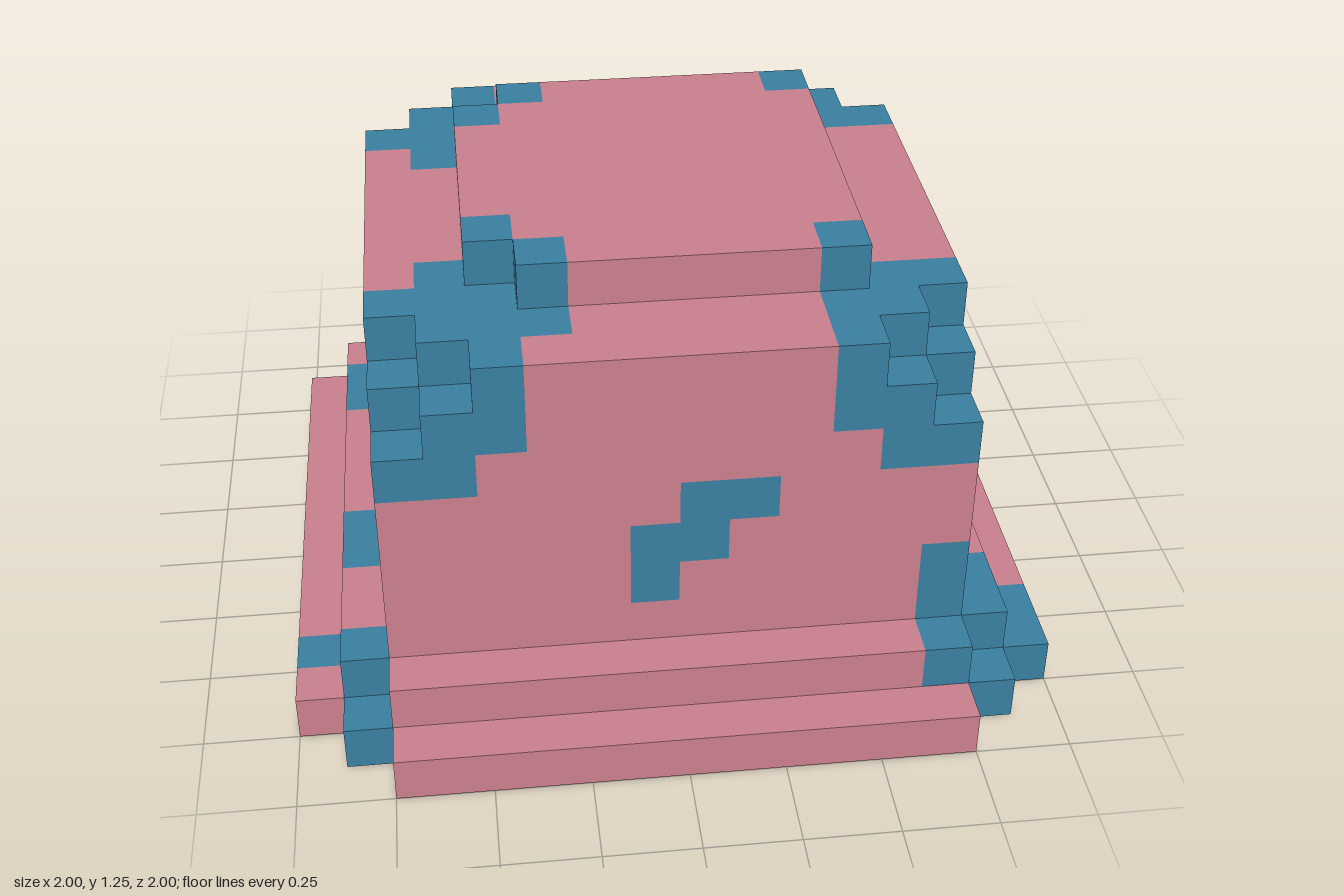
import * as THREE from 'three';

const U = 1 / 8; // size of one block

const material = (name, color) => {
  const m = new THREE.MeshStandardMaterial({ color });
  m.name = name;
  return m;
};

// Is there a block at this cell? (cell centres are used for x and z)
function solid(i, y, k) {
  const x = i + 0.5, a = Math.abs(x), c = Math.abs(k + 0.5);
  if (y < 0 || y > 9) return false;
  if (y === 0) return (a < 8 && c < 6) || (a < 6 && c < 8) || (a < 7 && c < 7);
  if (y === 1) return (a < 7 && c < 6) || (a < 6 && c < 7);
  if (y < 7) return a < 6 && c < 6;
  if (y === 7) return a < 6 && c < 6 && !(a > 5 && c > 5);
  if (y === 8) return a < 6 && c < 6 && !(a > 4 && c > 4 && (a > 5 || c > 5));
  return a < 4 && c < 4 && !(x < -3 && c > 3);
}

// Blue areas as block ranges: x0, x1, y0, y1, z0, z1
const blueAreas = [
  // brim, front corners
  [6, 8, 0, 2, 4, 6], [6, 7, 0, 1, 6, 7], [5, 6, 1, 2, 6, 7],
  [-7, -6, 0, 2, 5, 6], [-7, -6, 0, 1, 6, 7],
  // brim, sides and back
  [6, 8, 0, 2, -5, -3], [4, 6, 0, 2, -8, -6], [6, 7, 0, 1, -7, -6],
  [-8, -7, 0, 1, 4, 5], [-7, -6, 1, 2, 1, 3], [-7, -6, 1, 2, -5, -3],
  [-4, -2, 1, 2, -7, -6],
  // low patches on the body
  [5, 6, 2, 4, 5, 6], [-4, -2, 2, 4, -6, -5],
  // blob on the left-hand face
  [-6, -5, 5, 6, -1, 1], [-6, -5, 4, 5, -3, 2], [-6, -5, 3, 4, -2, 1],
];
// Areas repeated at the front and back
const mirroredAreas = [
  [0, 2, 5, 6, 5, 6], [-1, 1, 4, 5, 5, 6], [-1, 0, 3, 4, 5, 6], // zigzag spot
  [3, 6, 7, 9, 3, 6], [4, 6, 6, 7, 4, 6], [3, 4, 9, 10, 3, 4], // +x shoulder
  [-6, -3, 7, 9, 3, 6], [-6, -4, 6, 7, 4, 6], // -x shoulder
  [-3, -2, 8, 9, 3, 5], [-5, -3, 8, 9, 2, 3],
  [-3, -2, 9, 10, 3, 4], [-4, -3, 9, 10, 2, 3],
];
for (const [x0, x1, y0, y1, z0, z1] of mirroredAreas) {
  blueAreas.push([x0, x1, y0, y1, z0, z1], [x0, x1, y0, y1, -z1, -z0]);
}

const isBlue = (x, y, z) => blueAreas.some(([x0, x1, y0, y1, z0, z1]) =>
  x >= x0 && x < x1 && y >= y0 && y < y1 && z >= z0 && z < z1);

// Adds one square face of a cell, on the given axis and side
function addFace(out, cell, axis, side) {
  const u = (axis + 1) % 3, v = (axis + 2) % 3;
  const ring = [[0, 0], [1, 0], [1, 1], [0, 1]];
  if (side === 0) ring.reverse();
  const pts = ring.map(([s, t]) => {
    const p = [...cell];
    p[axis] += side;
    p[u] += s;
    p[v] += t;
    return p.map((n) => n * U);
  });
  for (const n of [0, 1, 2, 0, 2, 3]) out.push(...pts[n]);
}

// Surface of the blocks between two heights, with one geometry group per colour
function blockPart(name, y0, y1, materials) {
  const faces = [[], []];
  for (let y = y0; y < y1; y++) for (let x = -8; x < 8; x++) for (let z = -8; z < 8; z++) {
    if (!solid(x, y, z)) continue;
    const out = faces[isBlue(x, y, z) ? 1 : 0];
    for (let axis = 0; axis < 3; axis++) for (const side of [0, 1]) {
      const next = [x, y, z];
      next[axis] += side ? 1 : -1;
      if (!solid(...next)) addFace(out, [x, y, z], axis, side);
    }
  }
  const geo = new THREE.BufferGeometry();
  geo.setAttribute('position', new THREE.Float32BufferAttribute(faces.flat(), 3));
  geo.addGroup(0, faces[0].length / 3, 0);
  geo.addGroup(faces[0].length / 3, faces[1].length / 3, 1);
  geo.computeVertexNormals();
  const mesh = new THREE.Mesh(geo, materials);
  mesh.name = name;
  return mesh;
}

export function createModel() {
  const model = new THREE.Group();
  model.name = 'blockCreature';
  const skin = [material('pink', 0xcb808e), material('blue', 0x3a80a2)];
  const black = material('black', 0x222222);

  model.add(
    blockPart('brim', 0, 2, skin),
    blockPart('body', 2, 9, skin),
    blockPart('crown', 9, 10, skin),
  );

  // Eyes: thin plates on the +x face
  for (const s of [-1, 1]) {
    const eye = new THREE.Mesh(new THREE.BoxGeometry(0.008, 2 * U, U), black);
    eye.name = s > 0 ? 'frontEye' : 'backEye';
    eye.position.set(6 * U, 5 * U, s * 2.5 * U);
    model.add(eye);
  }
  return model;
}
